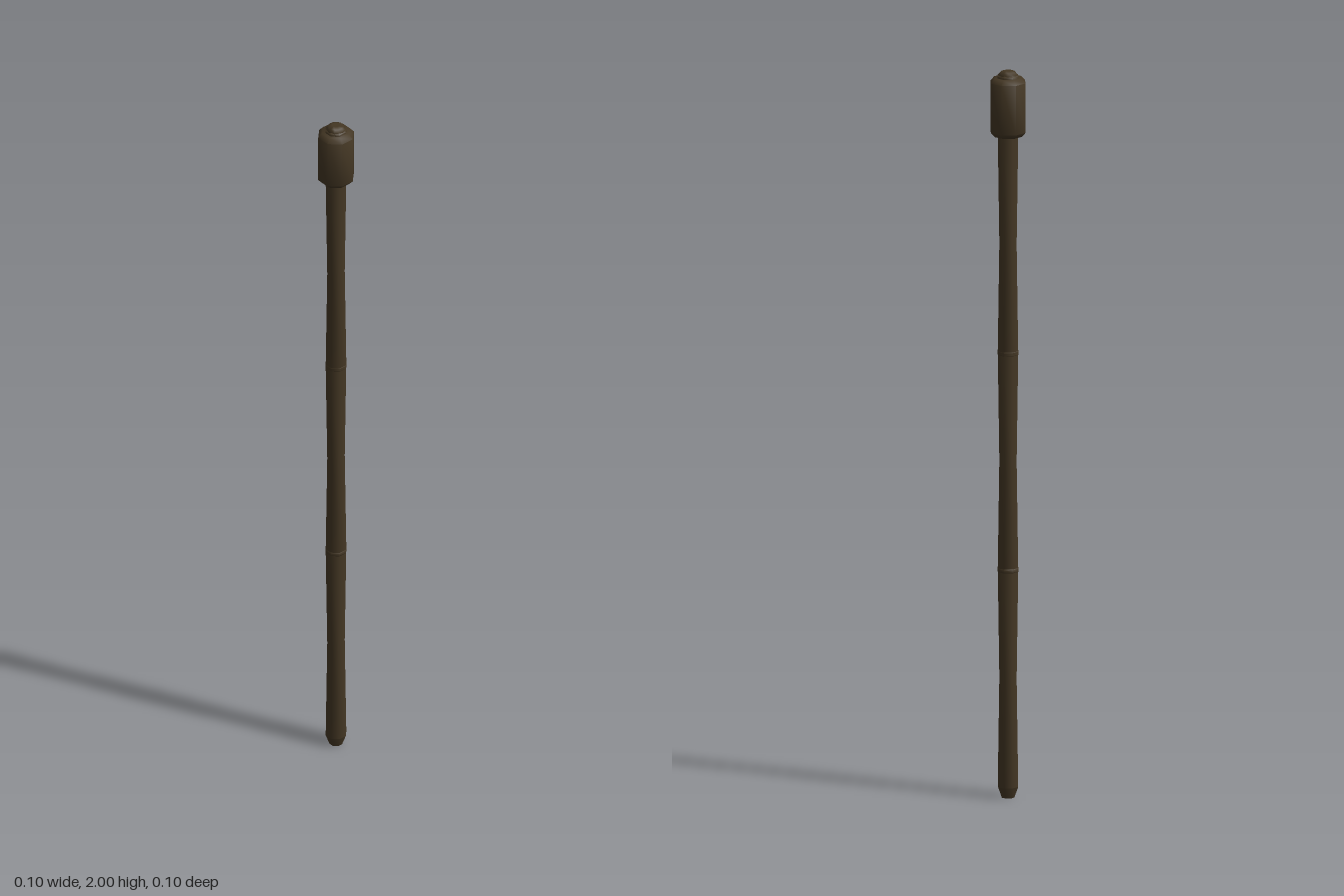
import * as THREE from 'three';
import { toCreasedNormals } from 'three/addons/utils/BufferGeometryUtils.js';

export function createModel() {
  const group = new THREE.Group();
  const darkWood = new THREE.MeshStandardMaterial({ color: 0x443724 });

  // Turned part; corners lie on the x and z axes when there are 8 sides
  function turned(name, profile, sides = 8, crease = 0.9) {
    const points = profile.map(([r, y]) => new THREE.Vector2(r, y));
    const geometry = toCreasedNormals(new THREE.LatheGeometry(points, sides), crease);
    const mesh = new THREE.Mesh(geometry, darkWood);
    mesh.name = name;
    group.add(mesh);
  }

  // Pointed foot
  turned('foot', [[0, 0], [0.018, 0], [0.029, 0.03]], 8);

  // Three shaft sections, each drawn in slightly at the waist
  const bottom = 0.03, length = 0.597;
  for (let i = 0; i < 3; i++) {
    const y = bottom + i * length;
    turned('shaftSection' + (i + 1), [[0.029, y], [0.0245, y + length / 2], [0.029, y + length]]);
  }

  // Thin rings at the joints
  for (let i = 1; i < 3; i++) {
    const y = bottom + i * length;
    turned('jointRing' + i, [[0.027, y - 0.008], [0.03, y - 0.004], [0.03, y + 0.004], [0.027, y + 0.008]]);
  }

  // Chamfered octagonal head
  turned('head', [[0, 1.82], [0.039, 1.82], [0.05, 1.832], [0.05, 1.968], [0.039, 1.98], [0, 1.98]], 8, 0.9);

  // Collar and domed button on top
  turned('collar', [[0.03, 1.975], [0.03, 1.985], [0.026, 1.988], [0, 1.988]], 8);
  turned('topButton', [[0.027, 1.98], [0.026, 1.988], [0.02, 1.996], [0.01, 1.9995], [0, 2]], 12, 1.2);

  return group;
}
